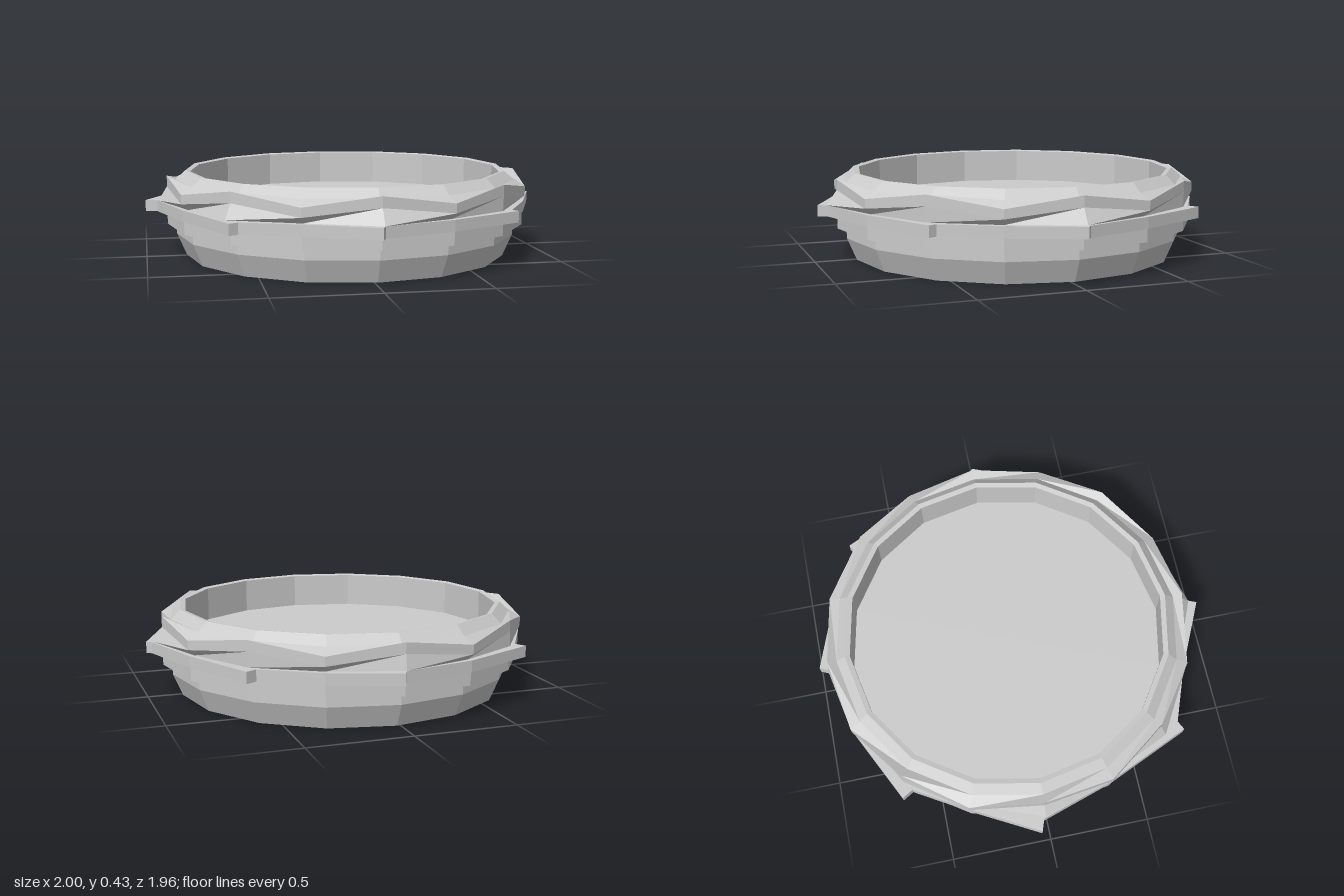
import * as THREE from 'three';

const SIDES = 16;
const material = new THREE.MeshStandardMaterial({ color: 0xcccccc, flatShading: true, side: THREE.DoubleSide });

// Lofts rings of [radius, height]; a ring may also be a list of pairs that cycles around the circle.
function loft(name, rings) {
  const point = (ring, i) => {
    const [r, y] = Array.isArray(ring[0]) ? ring[i % ring.length] : ring;
    const a = (i / SIDES) * Math.PI * 2;
    return [r * Math.cos(a), y, r * Math.sin(a)];
  };
  const positions = [];
  for (let k = 0; k < rings.length - 1; k++) {
    for (let i = 0; i < SIDES; i++) {
      const a = point(rings[k], i), a2 = point(rings[k], i + 1);
      const b = point(rings[k + 1], i), b2 = point(rings[k + 1], i + 1);
      if (rings[k][0] !== 0) positions.push(...a, ...b, ...a2);
      if (rings[k + 1][0] !== 0) positions.push(...b, ...b2, ...a2);
    }
  }
  const geometry = new THREE.BufferGeometry();
  geometry.setAttribute('position', new THREE.Float32BufferAttribute(positions, 3));
  geometry.computeVertexNormals();
  const mesh = new THREE.Mesh(geometry, material);
  mesh.name = name;
  return mesh;
}

// Flat ring with a saw-tooth outline: each tooth steps out to a tip, then runs back in
function sawtoothRing(teeth) {
  const polar = (degrees, r) => {
    const a = THREE.MathUtils.degToRad(degrees);
    return new THREE.Vector2(r * Math.cos(a), r * Math.sin(a));
  };
  const outline = teeth.flatMap(([angle, tip, step], k) => [
    polar(angle - 1.1, step),
    polar(angle, tip),
    polar(45 * k + 22.5, 0.912),
  ]);
  const shape = new THREE.Shape(outline);
  const hole = Array.from({ length: SIDES }, (_, i) => polar((-360 * i) / SIDES, 0.86));
  shape.holes.push(new THREE.Path(hole));
  const geometry = new THREE.ExtrudeGeometry(shape, { depth: 0.055, bevelEnabled: false });
  geometry.rotateX(Math.PI / 2);
  const mesh = new THREE.Mesh(geometry, material);
  mesh.position.y = 0.28;
  mesh.name = 'sawtoothRing';
  return mesh;
}

export function createModel() {
  const model = new THREE.Group();
  model.name = 'ruffledDish';
  const body = new THREE.Group();
  body.name = 'body';
  body.position.set(0.015, 0, -0.02);
  model.add(body);

  // Tapered base with a stepped collar
  body.add(loft('base', [[0, 0], [0.815, 0], [0.862, 0.11], [0.862, 0.162]]));
  body.add(loft('collar', [[0.862, 0.162], [0.907, 0.162], [0.907, 0.225], [0.86, 0.225]]));

  // Eight teeth around the outside: [tip angle, tip radius, step radius]
  body.add(sawtoothRing([
    [0.6, 0.985, 0.96], [42.3, 0.966, 0.925], [90.9, 1.0, 0.955], [130.8, 1.01, 0.965],
    [181.7, 1.015, 0.957], [222.5, 0.977, 0.919], [271.2, 0.962, 0.922], [313.1, 0.973, 0.918],
  ]));

  // Wavy band, high and low points alternating, flared unevenly below the high points
  const flares = [0.95, 0.905, 0.96, 0.945, 0.95, 0.91, 0.922, 0.905];
  body.add(loft('wavyBand', [
    flares.flatMap((r) => [[r, 0.28], [0.885, 0.28]]),
    [[0.907, 0.352], [0.92, 0.31]],
    [[0.907, 0.405], [0.92, 0.355]],
    [0.862, 0.385],
  ]));

  // Rim, inner wall and flat floor
  body.add(loft('rim', [[0.862, 0.385], [0.815, 0.43], [0.79, 0.425]]));
  body.add(loft('innerWall', [[0.79, 0.425], [0.79, 0.255]]));
  body.add(loft('floor', [[0.79, 0.255], [0, 0.255]]));
  return model;
}
